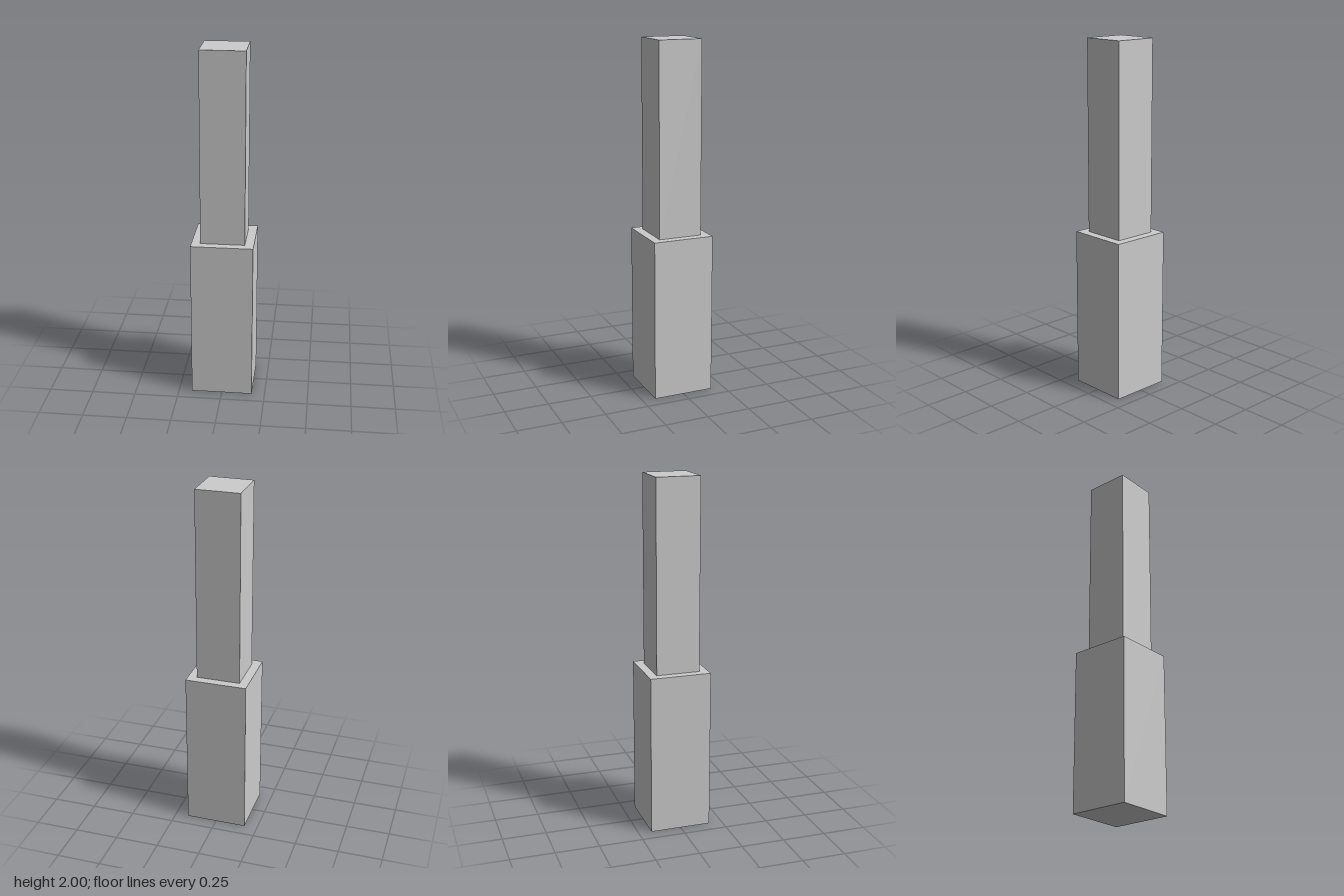
import * as THREE from 'three';

export function createModel() {
  const group = new THREE.Group();
  const material = new THREE.MeshStandardMaterial({ color: 0xcccccc, flatShading: true });

  // Square column section standing between two heights
  const addSection = (name, width, bottom, top) => {
    const mesh = new THREE.Mesh(new THREE.BoxGeometry(width, top - bottom, width), material);
    mesh.name = name;
    mesh.position.y = (bottom + top) / 2;
    group.add(mesh);
  };

  addSection('lowerBlock', 0.349, 0, 0.916);
  addSection('upperShaft', 0.249, 0.916, 2);

  return group;
}
